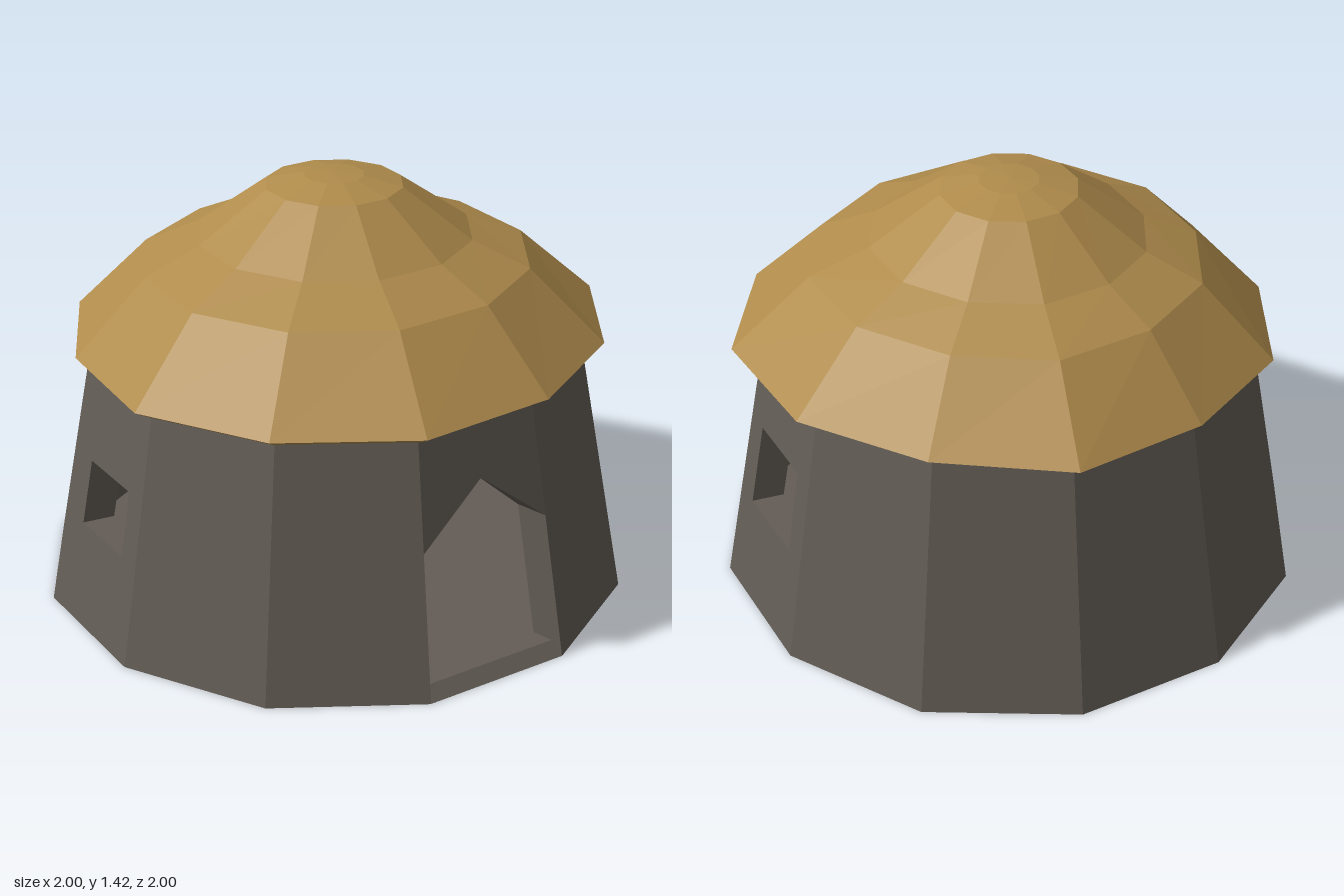
import * as THREE from 'three';

const SIDES = 12, STEP = Math.PI * 2 / SIDES;
const WALL_TOP = 0.9, THICKNESS = 0.11;

const stone = new THREE.MeshStandardMaterial({ color: 0x645d56, flatShading: true });
const thatch = new THREE.MeshStandardMaterial({ color: 0xb08c4c, flatShading: true, side: THREE.DoubleSide });

const polygon = (points) => points.map(([u, y]) => new THREE.Vector2(u, y));

// One wall facet: a flat outline (u from -1 to 1 across, y up) extruded, then
// wrapped between the sloping inner and outer faces of the wall.
function wallPanel(index, outline, hole) {
  const shape = new THREE.Shape(polygon(outline));
  if (hole) shape.holes.push(new THREE.Path(polygon(hole)));
  const geometry = new THREE.ExtrudeGeometry(shape, { depth: 1, bevelEnabled: false });
  const position = geometry.attributes.position;
  const middle = (index + 0.5) * STEP;
  for (let i = 0; i < position.count; i++) {
    const u = position.getX(i), y = position.getY(i);
    const radius = 1 - 0.19 * y - THICKNESS * (1 - position.getZ(i));
    const out = radius * Math.cos(STEP / 2), across = u * radius * Math.sin(STEP / 2);
    position.setXYZ(i,
      out * Math.cos(middle) + across * Math.sin(middle), y,
      out * Math.sin(middle) - across * Math.cos(middle));
  }
  geometry.computeVertexNormals();
  return new THREE.Mesh(geometry, stone);
}

function createWalls() {
  const walls = new THREE.Group();
  walls.name = 'walls';
  const full = [[-1, 0], [1, 0], [1, WALL_TOP], [-1, WALL_TOP]];
  const gable = [[-1, 0.485], [0, 0.67], [1, 0.485], [1, WALL_TOP], [-1, WALL_TOP]];
  const opening = (u0, u1, y0, y1) => [[u0, y0], [u0, y1], [u1, y1], [u1, y0]];
  const special = {
    0: ['doorwayGable', gable],
    3: ['frontWindowWall', full, opening(-0.5, 0.62, 0.335, 0.555)],
    9: ['backWindowWall', full, opening(-0.62, 0.62, 0.345, 0.635)],
  };
  for (let i = 0; i < SIDES; i++) {
    const [name, outline, hole] = special[i] ?? ['wallPanel', full];
    const panel = wallPanel(i, outline, hole);
    panel.name = name;
    walls.add(panel);
  }
  return walls;
}

// Thatched roof: rings of uneven radius, over the top, round the eave and back up inside.
function createRoof() {
  const eave = [0.9, 0.92, 0.905, 0.91, 0.88, 0.895, 0.866, 0.907, 0.87, 0.91, 0.93, 0.905];
  // radius, height, how much the ring follows the uneven eave
  const profile = [
    [0, 1.42, 0], [0.1, 1.415, 0], [0.23, 1.385, 0], [0.46, 1.22, 0.3], [0.65, 1.135, 0.6],
    [0.9, 0.89, 1], [0.86, 0.865, 1], [0.76, 0.88, 0.8],
    [0.6, 1.07, 0.5], [0.43, 1.16, 0.3], [0.21, 1.32, 0], [0, 1.36, 0],
  ];
  const point = ([radius, y, follow], i) => {
    const k = i % SIDES;
    const r = radius * (1 + follow * (eave[k] / 0.9 - 1));
    const z = r * Math.sin(k * STEP);
    return [r * Math.cos(k * STEP), y - 0.018 * z * follow, z];
  };
  const vertices = [];
  for (let j = 0; j < profile.length - 1; j++) {
    const upper = profile[j], lower = profile[j + 1];
    for (let i = 0; i < SIDES; i++) {
      const a = point(upper, i), b = point(lower, i);
      const c = point(lower, i + 1), d = point(upper, i + 1);
      if (lower[0] > 0) vertices.push(...a, ...c, ...b);
      if (upper[0] > 0) vertices.push(...a, ...d, ...(lower[0] > 0 ? c : b));
    }
  }
  const geometry = new THREE.BufferGeometry();
  geometry.setAttribute('position', new THREE.Float32BufferAttribute(vertices, 3));
  geometry.computeVertexNormals();
  const roof = new THREE.Mesh(geometry, thatch);
  roof.name = 'thatchedRoof';
  return roof;
}

export function createModel() {
  const hut = new THREE.Group();
  hut.name = 'hut';
  // Floor slab, its sloping rim forms the door sill
  const floor = new THREE.Mesh(new THREE.CylinderGeometry(0.955, 0.999, 0.042, SIDES), stone);
  floor.position.y = 0.021;
  floor.name = 'floor';
  hut.add(floor, createWalls(), createRoof());
  return hut;
}
